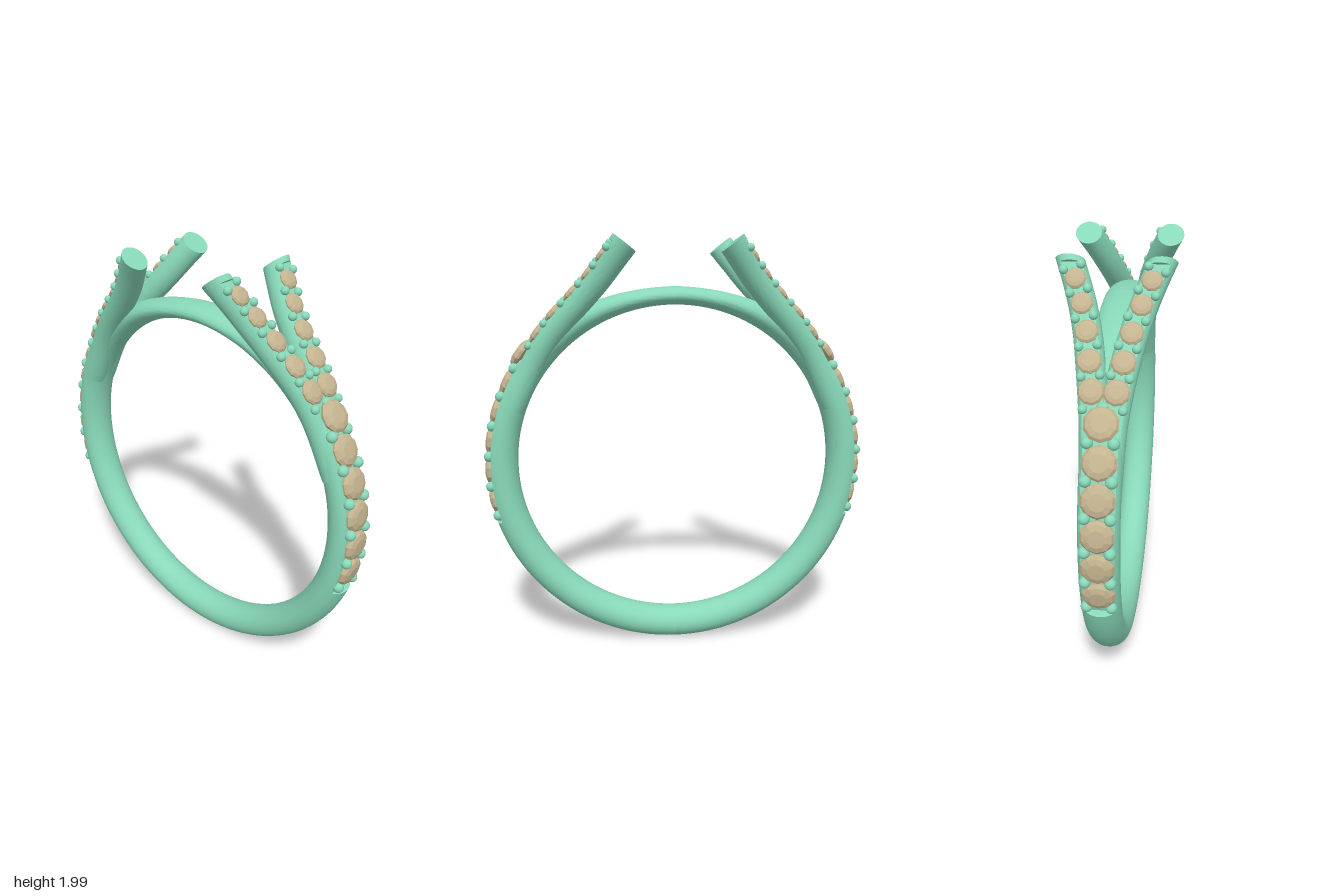
import * as THREE from 'three';
import { toCreasedNormals } from 'three/addons/utils/BufferGeometryUtils.js';

const metal = new THREE.MeshStandardMaterial({ color: 0x88d8b8 });
const stone = new THREE.MeshStandardMaterial({ color: 0xc4b490, flatShading: true });
const CY = 0.917, INNER = 0.762, FLAT = 0.885; // ring centre height, bore radius, radius of the stone seat
const Z = new THREE.Vector3(0, 0, 1);

// Loft of ellipses: c centre, n outward direction, a/b half sizes along n/z, clip = flat cut along n
function loft(sections, caps) {
  const M = 40, pos = [], idx = [];
  for (const { c, n, a, b, clip } of sections) {
    for (let j = 0; j < M; j++) {
      const t = (j / M) * Math.PI * 2;
      const p = c.clone().addScaledVector(n, Math.min(a * Math.cos(t), clip)).addScaledVector(Z, b * Math.sin(t));
      pos.push(p.x, p.y, p.z);
    }
  }
  for (let i = 0; i < sections.length - 1; i++) {
    for (let j = 0; j < M; j++) {
      const k = (j + 1) % M, p = i * M, q = p + M;
      idx.push(p + j, q + j, p + k, p + k, q + j, q + k);
    }
  }
  if (caps) {
    const last = (sections.length - 1) * M;
    for (let j = 1; j < M - 1; j++) {
      idx.push(0, j, j + 1, last, last + j + 1, last + j);
    }
  }
  const g = new THREE.BufferGeometry();
  g.setAttribute('position', new THREE.Float32BufferAttribute(pos, 3));
  g.setIndex(idx);
  return toCreasedNormals(g, 0.5);
}

function mesh(name, geometry, material) {
  const m = new THREE.Mesh(geometry, material);
  m.name = name;
  return m;
}

// Half of the band from bottom to top, thinner at the top, cut flat where the stones sit
function bandSection(deg, cut) {
  const th = THREE.MathUtils.degToRad(deg);
  const thick = 0.155 - 0.07 * THREE.MathUtils.smoothstep(deg, 25, 85);
  const n = new THREE.Vector3(Math.cos(th), Math.sin(th), 0);
  const r = INNER + thick / 2;
  return { c: n.clone().multiplyScalar(r).add(new THREE.Vector3(0, CY, 0)), n, a: thick / 2, b: 0.086, clip: cut ? FLAT - r : 1 };
}
function bandGeometry() {
  const s = [];
  for (let d = -90; d <= -18; d += 3) s.push(bandSection(d, false));
  for (let d = -17.9; d < 89; d += 3) s.push(bandSection(d, true));
  s.push(bandSection(90, true));
  return loft(s, false);
}

// Centre line of one split arm, leaving the band and rising to a flat end
const ARM = [
  [0.78, 1.2, 0.025], [0.675, 1.415, 0.035], [0.605, 1.525, 0.05], [0.53, 1.615, 0.068],
  [0.445, 1.705, 0.09], [0.365, 1.795, 0.12], [0.30, 1.878, 0.154], [0.24, 1.955, 0.19],
];
function armFrame(curve, i) {
  const t = i / (ARM.length - 1), c = curve.getPoint(t), T = curve.getTangent(t);
  return { c, T, n: new THREE.Vector3(T.y, -T.x, 0).normalize() };
}
function armGeometry(curve) {
  const s = [];
  const add = (i, clip) => s.push({ ...armFrame(curve, i), a: 0.063, b: 0.061, clip });
  for (let i = 0; i < 6.7; i += 0.2) add(i, 0.046);
  add(6.72, 0.046);
  add(6.73, 1);
  add(7, 1);
  return loft(s, true);
}

// Round faceted stone of radius 1, y up
const stoneGeometry = new THREE.LatheGeometry(
  [[0, -0.35], [0.97, -0.1], [1, 0.06], [0.85, 0.24], [0.52, 0.36], [0, 0.37]].map(([x, y]) => new THREE.Vector2(x, y)), 10);
const beadGeometry = new THREE.SphereGeometry(1, 16, 12);

function addStone(group, p, n, T, radius) {
  const m = mesh('stone', stoneGeometry, stone);
  const B = new THREE.Vector3().crossVectors(n, T).normalize();
  m.quaternion.setFromRotationMatrix(new THREE.Matrix4().makeBasis(B, n, new THREE.Vector3().crossVectors(B, n)));
  m.position.copy(p);
  m.scale.setScalar(radius);
  group.add(m);
}
// Pair of beads either side of the stone row
function addBeads(group, p, side, offset, radius) {
  for (const s of [-1, 1]) {
    const m = mesh('prongBead', beadGeometry, metal);
    m.position.copy(p).addScaledVector(side, s * offset);
    m.scale.setScalar(radius);
    group.add(m);
  }
}

function shoulder() {
  const g = new THREE.Group();
  g.name = 'shoulder';
  g.add(mesh('band', bandGeometry(), metal));

  // Large stones along the side of the band
  for (let k = 0; k < 6; k++) {
    const at = (deg, r) => {
      const th = THREE.MathUtils.degToRad(deg);
      return new THREE.Vector3(Math.cos(th) * r, CY + Math.sin(th) * r, 0);
    };
    const th = THREE.MathUtils.degToRad(-10.9 + 9.5 * k);
    const n = new THREE.Vector3(Math.cos(th), Math.sin(th), 0);
    addStone(g, at(-10.9 + 9.5 * k, k === 5 ? 0.905 : 0.889), n, new THREE.Vector3(-n.y, n.x, 0), 0.073);
    addBeads(g, at(-15.5 + 9.5 * k, 0.893), Z, 0.052, 0.025);
  }

  // Front and back arms with their rows of small stones
  for (const s of [-1, 1]) {
    const arm = new THREE.Group();
    arm.name = s > 0 ? 'frontArm' : 'backArm';
    const curve = new THREE.CatmullRomCurve3(ARM.map(([x, y, z]) => new THREE.Vector3(x, y, z * s)));
    arm.add(mesh('armRod', armGeometry(curve), metal));
    for (let i = 2; i <= 6; i++) {
      const { c, T, n } = armFrame(curve, i);
      addStone(arm, c.addScaledVector(n, 0.048), n, T, 0.055 - 0.0025 * (i - 2));
    }
    for (const i of [1.5, 2.5, 3.5, 4.5, 5.5, 6.48]) {
      const { c, T, n } = armFrame(curve, i);
      const side = new THREE.Vector3().crossVectors(n, T).normalize();
      addBeads(arm, c.addScaledVector(n, 0.05), side, 0.037, 0.019);
    }
    g.add(arm);
  }
  return g;
}

export function createModel() {
  const model = new THREE.Group();
  model.name = 'ring';
  const left = shoulder();
  left.name = 'leftShoulder';
  const right = left.clone();
  right.name = 'rightShoulder';
  right.rotation.y = Math.PI;
  model.add(left, right);
  return model;
}
